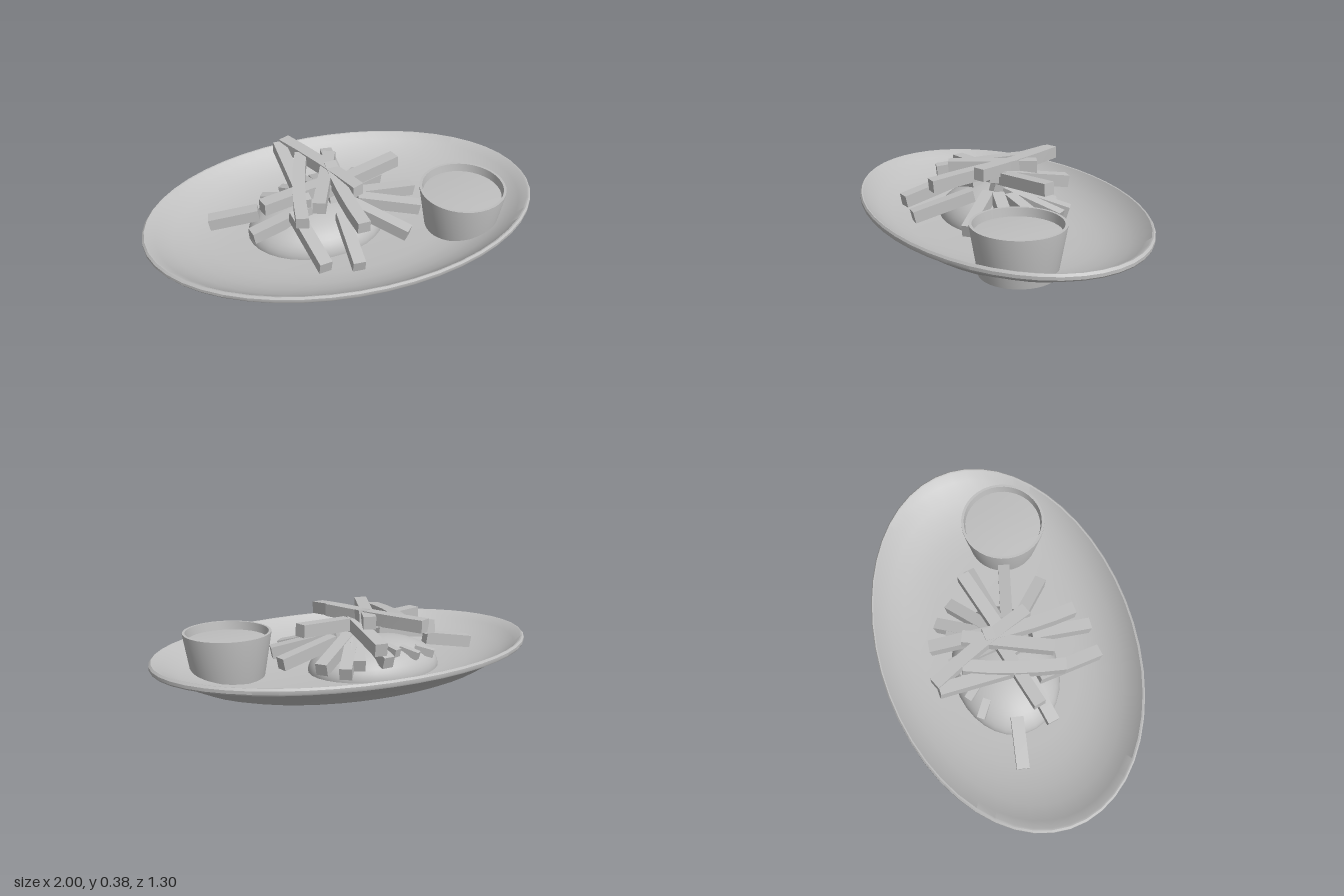
import * as THREE from 'three';
import { toCreasedNormals } from 'three/addons/utils/BufferGeometryUtils.js';

const grey = new THREE.MeshStandardMaterial({ color: 0xbfbfbf });
grey.name = 'plainGrey';

function add(parent, name, geometry) {
  const mesh = new THREE.Mesh(geometry, grey);
  mesh.name = name;
  parent.add(mesh);
  return mesh;
}

function lathe(points, sides, scaleZ = 1) {
  const g = new THREE.LatheGeometry(points.map(([r, y]) => new THREE.Vector2(r, y)), sides);
  g.scale(1, 1, scaleZ);
  return toCreasedNormals(g, 0.5);
}

// A square-cut chip between two points, bowed slightly sideways in the middle
function chip(start, end, width, bow = 0) {
  const length = start.distanceTo(end);
  const g = new THREE.BoxGeometry(width, width, length, 1, 1, 4);
  const p = g.attributes.position;
  for (let i = 0; i < p.count; i++) {
    const t = (2 * p.getZ(i)) / length;
    p.setX(i, p.getX(i) + bow * (1 - t * t));
  }
  const pose = new THREE.Object3D();
  pose.position.copy(start).lerp(end, 0.5);
  pose.lookAt(end);
  pose.updateMatrix();
  g.applyMatrix4(pose.matrix);
  return toCreasedNormals(g, 0.4);
}

export function createModel() {
  const model = new THREE.Group();
  model.name = 'plateOfChips';

  // Oval plate with a foot ring, flat well and rounded lip
  add(model, 'plate', lathe([
    [0, 0.035], [0.42, 0.035], [0.435, 0], [0.5, 0], [0.515, 0.04],
    [0.66, 0.042], [0.73, 0.047], [0.79, 0.066], [0.97, 0.155],
    [0.995, 0.158], [1, 0.165], [1, 0.18], [0.99, 0.19], [0.98, 0.188],
    [0.94, 0.158], [0.86, 0.118], [0.77, 0.088], [0.67, 0.067], [0.54, 0.055], [0, 0.055],
  ], 48, 0.65));

  // Dipping cup
  const dip = new THREE.Group();
  dip.name = 'dippingCup';
  dip.position.set(0.575, 0, 0.17);
  model.add(dip);
  add(dip, 'cup', lathe([
    [0, 0.045], [0.178, 0.045], [0.216, 0.27], [0.216, 0.278], [0.203, 0.278], [0.196, 0.23],
  ], 36));
  add(dip, 'sauce', lathe([[0.198, 0.236], [0.12, 0.242], [0, 0.244]], 36));

  // Low mound beneath the chips
  const mound = add(model, 'mound', new THREE.SphereGeometry(1, 32, 12, 0, Math.PI * 2, 0, Math.PI / 2));
  mound.scale.set(0.35, 0.16, 0.27);
  mound.position.set(-0.13, 0.055, -0.04);

  const pile = new THREE.Group();
  pile.name = 'chips';
  model.add(pile);

  // Long chips crossing on top: start, end, sideways bow
  const crossing = [
    [[-0.01, 0.3, 0.35], [-0.03, 0.345, -0.12], 0.012],
    [[-0.19, 0.34, -0.41], [0.04, 0.34, 0.12], 0.01],
    [[0.03, 0.245, -0.38], [-0.02, 0.31, 0.04], 0],
    [[-0.22, 0.33, -0.4], [-0.21, 0.27, 0.06], 0],
    [[-0.27, 0.29, 0.22], [-0.14, 0.335, -0.26], 0.015],
    [[-0.18, 0.335, 0.19], [0, 0.335, -0.22], 0],
    [[0.32, 0.315, -0.12], [-0.14, 0.285, 0.01], 0],
    [[-0.42, 0.29, 0.04], [-0.02, 0.29, -0.06], 0],
    [[-0.22, 0.17, 0.42], [-0.27, 0.24, 0.08], 0],
  ];
  for (const [start, end, bow] of crossing) {
    add(pile, 'crossingChip', chip(new THREE.Vector3(...start), new THREE.Vector3(...end), 0.062, bow));
  }

  // Lower chips all lean in from their outer tips towards the heart of the pile
  const heart = new THREE.Vector3(-0.04, 0.24, 0);
  function leaning(name, tips, width, length) {
    for (const [x, y, z] of tips) {
      const tip = new THREE.Vector3(x, y, z);
      const inward = heart.clone().sub(tip).setLength(length);
      add(pile, name, chip(tip, inward.add(tip), width));
    }
  }
  leaning('leaningChip', [
    [-0.06, 0.14, 0.43], [0.25, 0.14, 0.27], [0.37, 0.16, 0.11], [0.4, 0.15, -0.07],
    [0.26, 0.14, -0.22], [0.18, 0.13, -0.31], [0.09, 0.15, -0.28], [-0.06, 0.15, -0.3],
    [-0.49, 0.17, 0.09],
  ], 0.06, 0.32);
  leaning('looseChip', [[-0.66, 0.14, -0.12]], 0.062, 0.25);
  leaning('chipEnd', [[-0.36, 0.14, -0.24], [-0.25, 0.15, -0.27], [-0.13, 0.18, -0.27]], 0.04, 0.1);

  return model;
}
